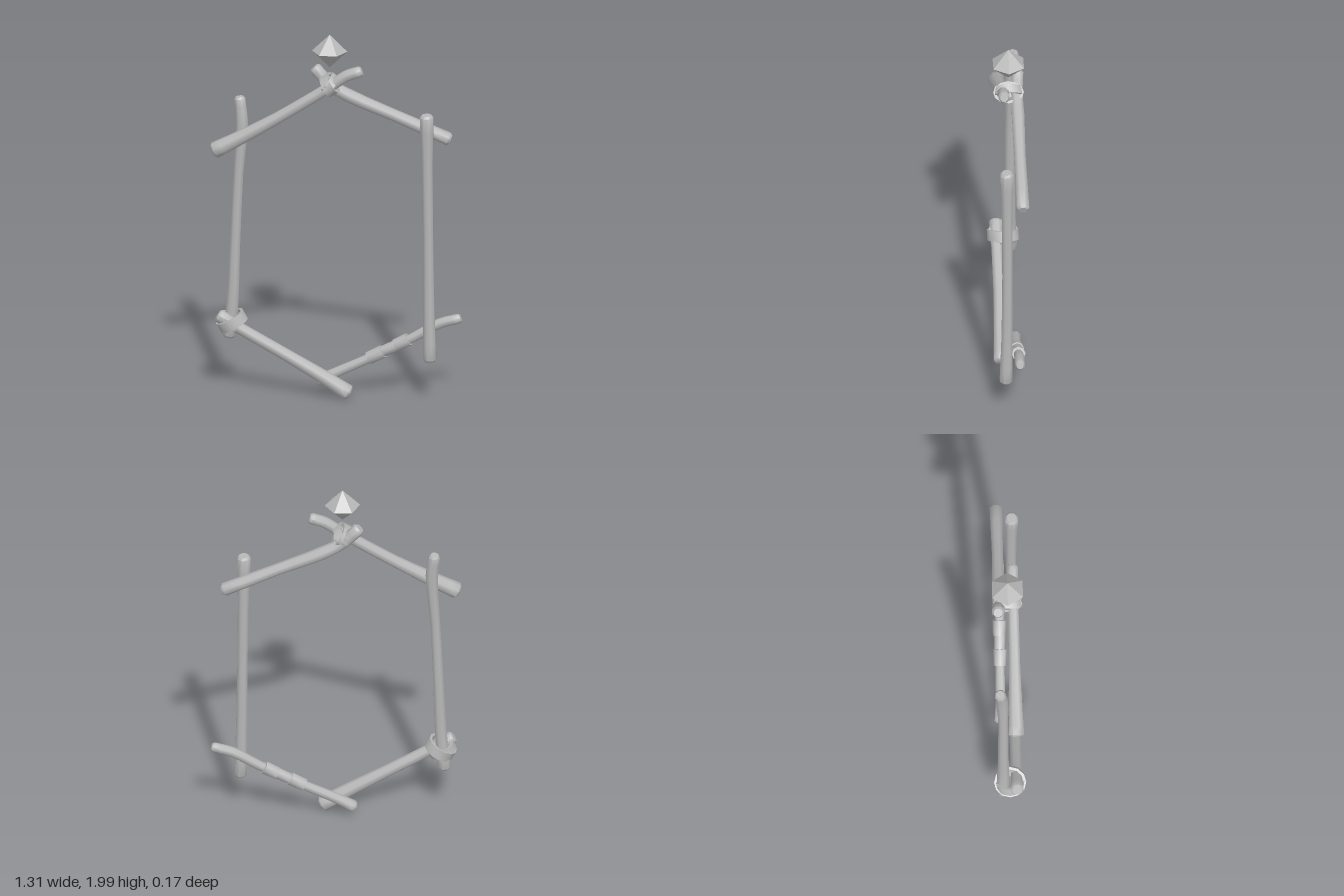
import * as THREE from 'three';
import { toCreasedNormals } from 'three/addons/utils/BufferGeometryUtils.js';

const SIDES = 8;

// Closed rod swept through [x, y, z, radius] points, with bevelled ends
function rodGeometry(points) {
  const pts = points.map(p => new THREE.Vector3(p[0], p[1], p[2]));
  const curve = new THREE.CatmullRomCurve3(pts, false, 'centripetal');
  const n = points.length - 1, steps = n * 3;
  const rings = [];
  for (let i = 0; i <= steps; i++) {
    const t = i / steps, k = Math.min(Math.floor(t * n), n - 1);
    const r = THREE.MathUtils.lerp(points[k][3], points[k + 1][3], t * n - k);
    rings.push({ c: curve.getPoint(t), d: curve.getTangent(t), r });
  }
  // Bevel rings at both ends
  const bevel = (e, s) => ({ c: e.c.clone().addScaledVector(e.d, s * 0.012), d: e.d, r: e.r * 0.72 });
  rings.unshift(bevel(rings[0], -1));
  rings.push(bevel(rings[rings.length - 1], 1));
  const pos = [], idx = [], depth = new THREE.Vector3(0, 0, 1);
  for (const { c, d, r } of rings) {
    const u = new THREE.Vector3().crossVectors(depth, d).normalize();
    const v = new THREE.Vector3().crossVectors(d, u);
    for (let j = 0; j < SIDES; j++) {
      const a = (j + 0.5) / SIDES * Math.PI * 2;
      const p = c.clone().addScaledVector(u, r * Math.cos(a)).addScaledVector(v, r * Math.sin(a));
      pos.push(p.x, p.y, p.z);
    }
  }
  for (let i = 0; i < rings.length - 1; i++) {
    for (let j = 0; j < SIDES; j++) {
      const a = i * SIDES + j, b = i * SIDES + (j + 1) % SIDES;
      idx.push(a, b, b + SIDES, a, b + SIDES, a + SIDES);
    }
  }
  const last = (rings.length - 1) * SIDES;
  for (let j = 1; j < SIDES - 1; j++) {
    idx.push(0, j + 1, j, last, last + j, last + j + 1);
  }
  const g = new THREE.BufferGeometry();
  g.setAttribute('position', new THREE.Float32BufferAttribute(pos, 3));
  g.setIndex(idx);
  return toCreasedNormals(g, 0.85);
}

// Flat strap looped around two crossing sticks; its long side lies at the given angle
function strapGeometry(halfLength, halfDepth, width) {
  const shape = new THREE.Shape().absellipse(0, 0, halfLength, halfDepth, 0, Math.PI * 2, false);
  const hole = new THREE.Path().absellipse(0, 0, halfLength - 0.014, halfDepth - 0.014, 0, Math.PI * 2, true);
  shape.holes.push(hole);
  const g = new THREE.ExtrudeGeometry(shape, { depth: width, bevelEnabled: false, curveSegments: 6 });
  g.translate(0, 0, -width / 2);
  g.rotateX(-Math.PI / 2);
  return toCreasedNormals(g, 0.9);
}

export function createModel() {
  const group = new THREE.Group();
  const grey = new THREE.MeshStandardMaterial({ color: 0xb8b8b8 });
  grey.name = 'plain grey';
  const add = (name, geometry) => {
    const mesh = new THREE.Mesh(geometry, grey);
    mesh.name = name;
    group.add(mesh);
    return mesh;
  };

  // Six crossed sticks forming the frame
  const sticks = {
    rightUpright: [
      [-0.505, 1.61, -0.05, 0.03], [-0.492, 1.48, -0.04, 0.034], [-0.51, 1.2, -0.035, 0.027],
      [-0.528, 0.8, -0.035, 0.029], [-0.54, 0.5, -0.035, 0.033], [-0.558, 0.31, -0.04, 0.037]],
    leftUpright: [
      [0.48, 1.577, 0.035, 0.037], [0.483, 1.3, 0.033, 0.03], [0.488, 0.9, 0.033, 0.028],
      [0.492, 0.5, 0.035, 0.031], [0.497, 0.245, 0.04, 0.036]],
    upperRightStick: [
      [-0.625, 1.35, 0.03, 0.044], [-0.5, 1.42, 0.03, 0.038], [-0.3, 1.54, 0.03, 0.031],
      [-0.03, 1.72, 0.03, 0.029], [0.06, 1.787, 0.03, 0.03], [0.13, 1.813, 0.03, 0.03]],
    upperLeftStick: [
      [-0.11, 1.79, -0.05, 0.034], [-0.02, 1.7, -0.045, 0.032], [0.08, 1.645, -0.045, 0.035],
      [0.3, 1.555, -0.043, 0.031], [0.585, 1.435, -0.043, 0.035]],
    lowerRightStick: [
      [-0.6, 0.437, 0.035, 0.036], [-0.48, 0.365, 0.035, 0.031], [-0.25, 0.235, 0.035, 0.032],
      [-0.05, 0.12, 0.04, 0.037], [0.07, 0.045, 0.042, 0.042]],
    lowerLeftStick: [
      [-0.085, 0.077, -0.038, 0.032], [0, 0.125, -0.035, 0.027], [0.15, 0.2, -0.033, 0.025],
      [0.4, 0.335, -0.03, 0.025], [0.54, 0.42, -0.027, 0.027], [0.64, 0.452, -0.025, 0.026]]
  };
  for (const [name, points] of Object.entries(sticks)) add(name, rodGeometry(points));

  // Two sleeves and a thinner wrap on the lower left stick
  const sleeves = [
    [[0.17, 0.212], [0.245, 0.253], 0.036],
    [[0.24, 0.25], [0.32, 0.292], 0.031],
    [[0.31, 0.287], [0.378, 0.325], 0.036]];
  for (const [a, b, r] of sleeves) {
    const from = new THREE.Vector3(...a, -0.032), to = new THREE.Vector3(...b, -0.031);
    const dir = to.clone().sub(from);
    const g = toCreasedNormals(new THREE.CylinderGeometry(r, r * 0.96, dir.length(), SIDES), 0.9);
    const sleeve = add('stickSleeve', g);
    sleeve.position.copy(from).lerp(to, 0.5);
    sleeve.quaternion.setFromUnitVectors(new THREE.Vector3(0, 1, 0), dir.normalize());
  }

  // Lashings: [name, x, y, angle, half length, half depth, width]
  const straps = [
    ['lowerLashing', -0.54, 0.4, 0.5, 0.08, 0.084, 0.055],
    ['lowerLashingCross', -0.545, 0.4, -0.35, 0.074, 0.078, 0.045],
    ['upperLashing', -0.03, 1.725, 2.15, 0.058, 0.08, 0.05],
    ['upperLashingCross', -0.03, 1.73, 0.95, 0.054, 0.077, 0.045]];
  for (const [name, x, y, angle, length, depth, width] of straps) {
    const strap = add(name, strapGeometry(length, depth, width));
    strap.position.set(x, y, 0);
    strap.rotation.z = angle;
  }

  // Six-sided floating crystal: two cones base to base
  const profile = [[0, 1.82], [0.092, 1.91], [0, 2]].map(p => new THREE.Vector2(...p));
  const gem = add('crystal', toCreasedNormals(new THREE.LatheGeometry(profile, 6, Math.PI / 2), 0.1));
  gem.position.x = -0.03;

  return group;
}
